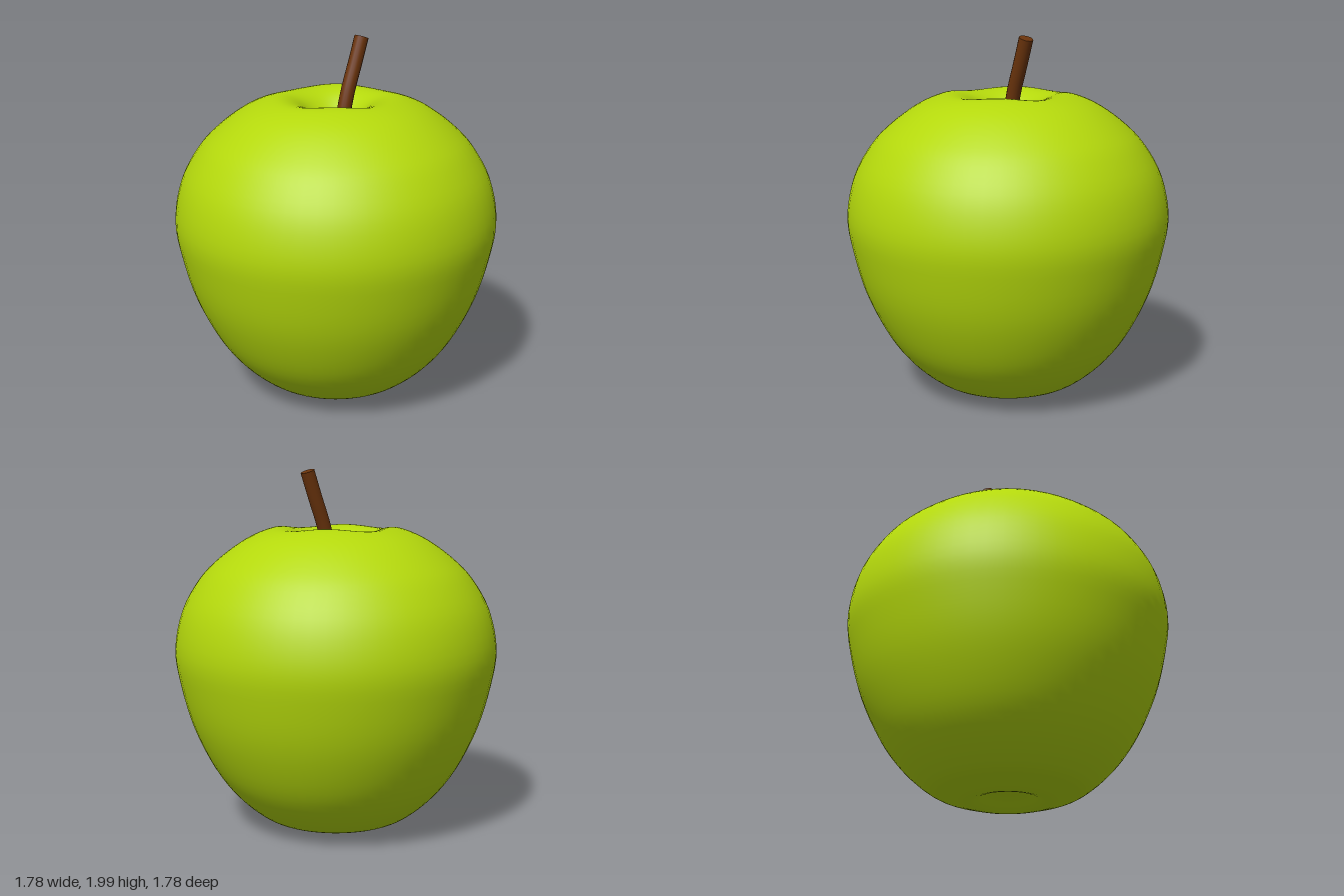
import * as THREE from 'three';

// Smooth curve through a few [radius, height] points, from base dimple to stem hollow
const PROFILE = [
  [0, 0.07], [0.09, 0.05], [0.2, 0.008], [0.32, 0.035], [0.43, 0.08], [0.57, 0.2], [0.69, 0.36],
  [0.8, 0.59], [0.865, 0.82], [0.892, 1.02], [0.85, 1.23], [0.755, 1.4], [0.65, 1.51],
  [0.52, 1.605], [0.4, 1.66], [0.3, 1.678], [0.2, 1.645], [0.1, 1.56], [0, 1.5],
];

function makeBody(material) {
  const curve = new THREE.SplineCurve(PROFILE.map(([r, y]) => new THREE.Vector2(r, y)));
  const points = curve.getPoints(72);
  points.forEach((p) => { p.x = Math.max(p.x, 0); p.y = Math.max(p.y, 0); });
  const geometry = new THREE.LatheGeometry(points, 64);

  // Four very soft lobes around the upper rim
  const pos = geometry.attributes.position;
  for (let i = 0; i < pos.count; i++) {
    const x = pos.getX(i), y = pos.getY(i), z = pos.getZ(i);
    const r = Math.hypot(x, z);
    const rim = y > 1.2 ? Math.exp(-(((r - 0.3) / 0.18) ** 2)) : 0;
    pos.setY(i, y - 0.008 * rim * Math.cos(4 * Math.atan2(z, x)));
  }
  const body = new THREE.Mesh(geometry, material);
  body.name = 'fruitBody';
  return body;
}

function makeStem(material) {
  const stem = new THREE.Group();
  stem.name = 'stem';
  const path = new THREE.CatmullRomCurve3([
    new THREE.Vector3(0.015, 1.44, -0.03),
    new THREE.Vector3(0.015, 1.56, -0.04),
    new THREE.Vector3(0.015, 1.7, -0.075),
    new THREE.Vector3(0.015, 1.84, -0.127),
    new THREE.Vector3(0.015, 1.987, -0.18),
  ]);
  const radius = 0.039;
  const shaft = new THREE.Mesh(new THREE.TubeGeometry(path, 16, radius, 16), material);
  shaft.name = 'stemShaft';
  stem.add(shaft);

  // Flat cut end
  const cap = new THREE.Mesh(new THREE.CircleGeometry(radius, 16), material);
  cap.name = 'stemTip';
  cap.position.copy(path.getPoint(1));
  cap.quaternion.setFromUnitVectors(new THREE.Vector3(0, 0, 1), path.getTangent(1));
  stem.add(cap);
  return stem;
}

export function createModel() {
  const model = new THREE.Group();
  model.name = 'apple';
  model.add(
    makeBody(new THREE.MeshStandardMaterial({ color: 0xb4d80c })),
    makeStem(new THREE.MeshStandardMaterial({ color: 0x6b340c })),
  );
  return model;
}
